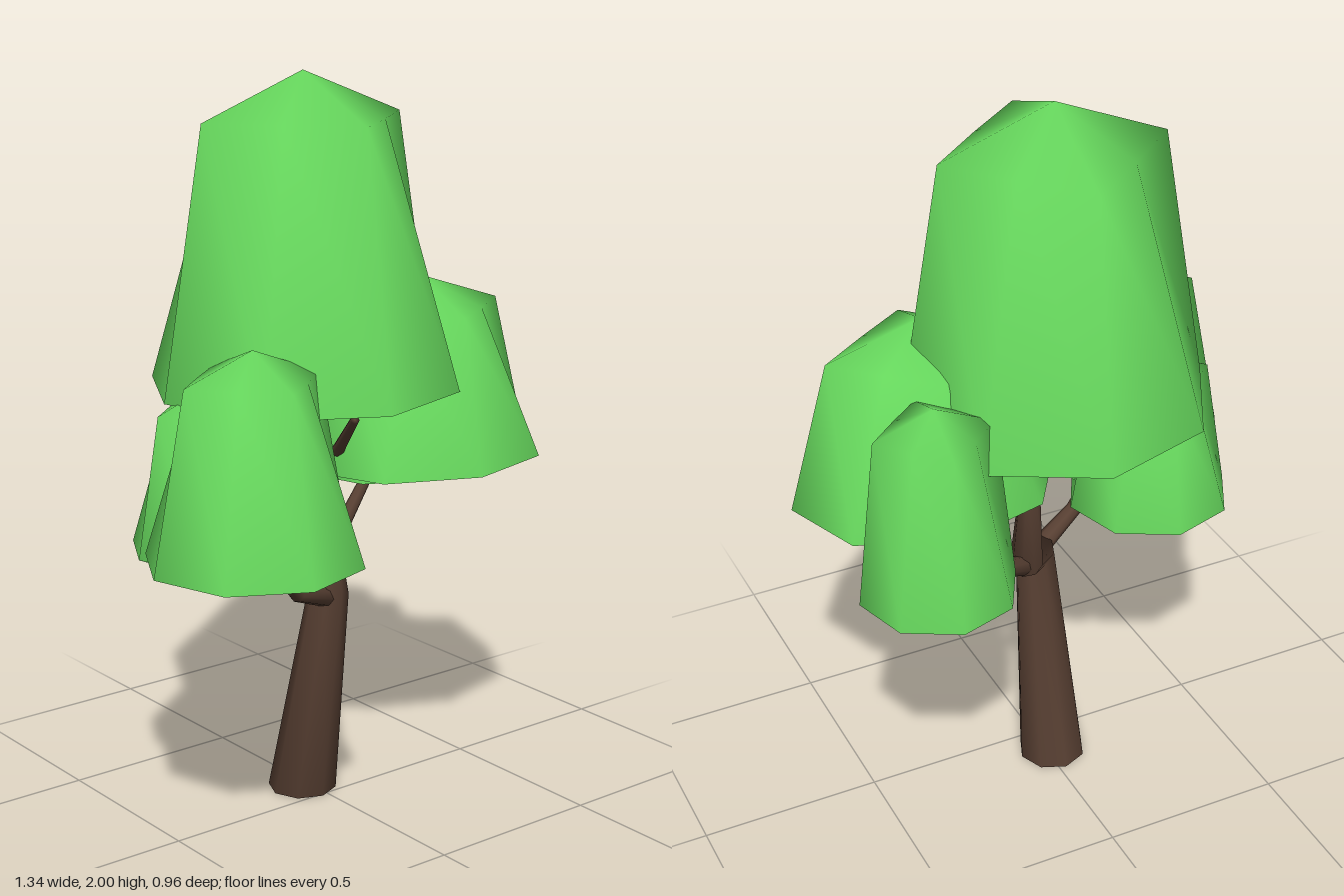
import * as THREE from 'three';

const bark = new THREE.MeshStandardMaterial({ color: 0x573f32 });
const leaf = new THREE.MeshStandardMaterial({ color: 0x6ade60 });
const SIDES = 8;

// Closed smooth surface through eight-point rings, bottom to top, with a centre point at each end
function loft(name, rings, bottom, top, material) {
  const points = [...rings.flat(), bottom, top];
  const low = points.length - 2, high = low + 1, last = (rings.length - 1) * SIDES;
  const index = [];
  for (let k = 0; k < SIDES; k++) {
    const next = (k + 1) % SIDES;
    index.push(low, next, k, high, last + k, last + next);
    for (let i = 0; i < last; i += SIDES) {
      const a = i + k, b = i + next;
      index.push(a, b, a + SIDES, b + SIDES, a + SIDES, b);
    }
  }
  const geometry = new THREE.BufferGeometry().setFromPoints(points);
  geometry.setIndex(index);
  geometry.computeVertexNormals();
  const mesh = new THREE.Mesh(geometry, material);
  mesh.name = name;
  return mesh;
}

// Tapered limb along a bent path of [x, y, z, radius]
function limb(name, path) {
  const pts = path.map(([x, y, z]) => new THREE.Vector3(x, y, z));
  const end = pts.length - 1;
  const rings = pts.map((p, i) => {
    const dir = new THREE.Vector3();
    if (i < end) dir.add(pts[i + 1].clone().sub(p).normalize());
    if (i > 0) dir.add(p.clone().sub(pts[i - 1]).normalize());
    if (p.y === 0) dir.set(0, 1, 0);
    dir.normalize();
    const u = new THREE.Vector3(0, 0, 1).addScaledVector(dir, -dir.z).normalize();
    const v = dir.clone().cross(u);
    return Array.from({ length: SIDES }, (_, k) => {
      const a = (k / SIDES) * Math.PI * 2;
      return p.clone()
        .addScaledVector(u, Math.cos(a) * path[i][3])
        .addScaledVector(v, Math.sin(a) * path[i][3]);
    });
  });
  return loft(name, rings, pts[0], pts[end], bark);
}

// Clump of leaves: eight-sided rim below, narrowing to a square shoulder under a low peak
function clump({ name, x, z, R, r, bottom, shoulder, top, depth = 1, sag = 0.003 }) {
  const ring = (radius, y, square) => Array.from({ length: SIDES }, (_, k) => {
    const a = (k / SIDES) * Math.PI * 2 - 0.1;
    const d = square && k % 2 ? radius * 0.72 : radius;
    return new THREE.Vector3(x + Math.sin(a) * d, y, z + Math.cos(a) * d * depth);
  });
  const rings = [
    ring(R * 0.8, bottom - sag, false),
    ring(R, bottom, false),
    ring(r, shoulder, true),
  ];
  return loft(name, rings, new THREE.Vector3(x, bottom - sag, z), new THREE.Vector3(x, top, z), leaf);
}

export function createModel() {
  const tree = new THREE.Group();
  tree.name = 'tree';

  // trunk and branches
  tree.add(
    limb('trunk', [
      [-0.02, 0, -0.085, 0.095], [-0.03, 0.61, 0.045, 0.056],
      [0.055, 0.675, -0.075, 0.046], [0.04, 0.95, -0.07, 0.026], [0.02, 1.25, -0.06, 0.016],
    ]),
    limb('leftBranch', [
      [-0.03, 0.6, 0.05, 0.03], [-0.19, 0.66, 0.12, 0.022],
      [-0.33, 0.81, 0.17, 0.017], [-0.39, 0.9, 0.19, 0.012],
    ]),
    limb('rightBranch', [
      [0.06, 0.67, -0.08, 0.03], [0.19, 0.735, -0.15, 0.02],
      [0.32, 0.815, -0.22, 0.016], [0.4, 0.9, -0.26, 0.012],
    ]),
    limb('upperBranch', [
      [0.04, 0.9, -0.07, 0.02], [-0.02, 1.02, 0.08, 0.017], [-0.08, 1.135, 0.22, 0.012],
    ]),
  );

  // foliage
  const clumps = [
    { name: 'crown', x: -0.03, z: -0.06, R: 0.422, r: 0.302, bottom: 1.17, shoulder: 1.88, top: 2 },
    { name: 'leftFrontClump', x: -0.385, z: 0.195, R: 0.287, r: 0.195, bottom: 0.81, shoulder: 1.28, top: 1.355 },
    { name: 'rightFrontClump', x: 0.302, z: 0.03, R: 0.367, r: 0.255, bottom: 0.945, shoulder: 1.355, top: 1.44, depth: 0.82 },
    { name: 'rightBackClump', x: 0.4, z: -0.27, R: 0.21, r: 0.158, bottom: 0.825, shoulder: 1.295, top: 1.36 },
    { name: 'leftBackClump', x: -0.33, z: -0.05, R: 0.228, r: 0.165, bottom: 0.778, shoulder: 1.15, top: 1.22, sag: 0.02 },
  ];
  clumps.forEach(c => tree.add(clump(c)));
  return tree;
}
